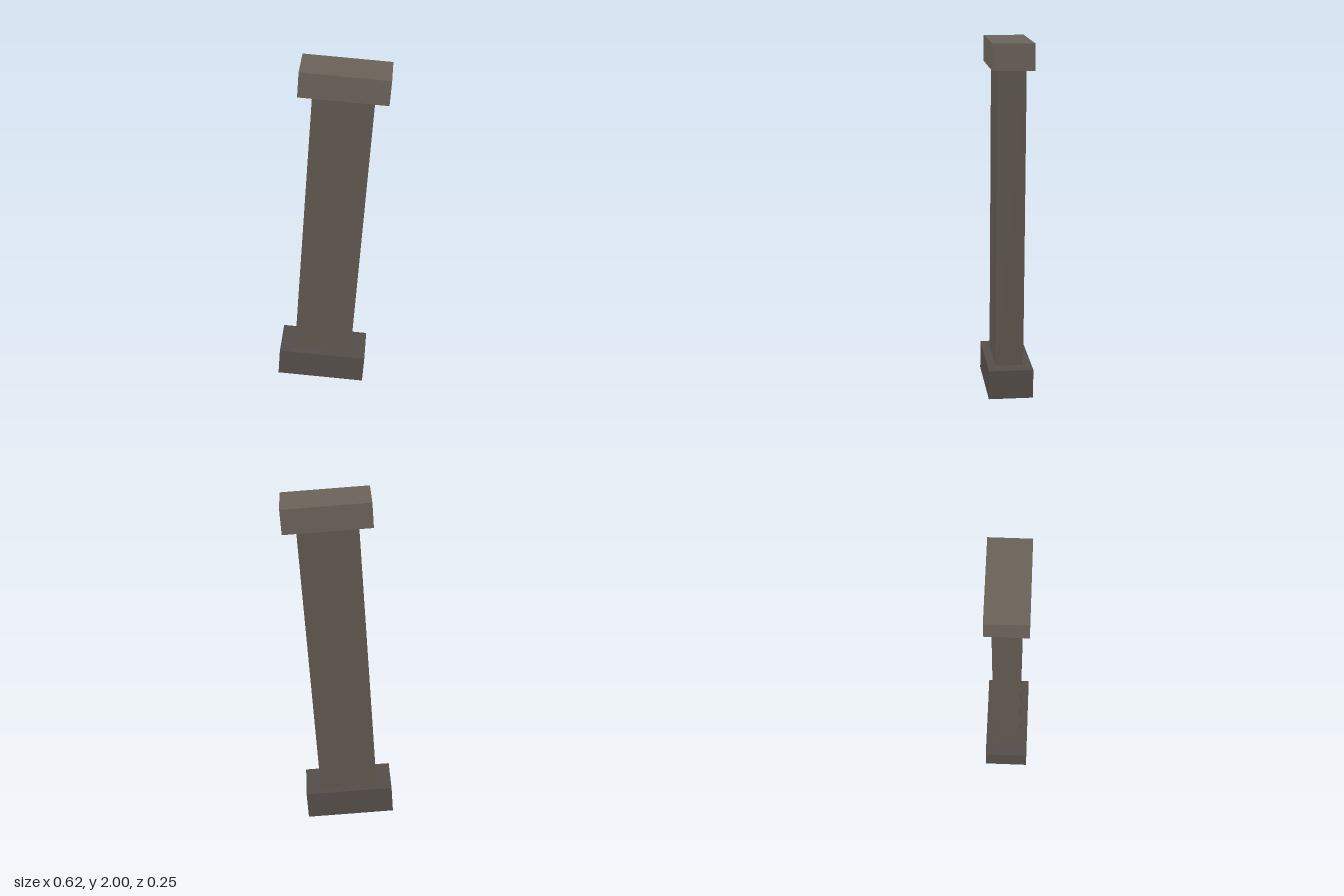
import * as THREE from 'three';

// Leaning square pillar: wide base, plain shaft and cap, all sharing one tilted axis
export function createModel() {
  const model = new THREE.Group();
  model.name = 'leaningPillar';

  const pillar = new THREE.Group();
  pillar.name = 'pillar';
  pillar.position.set(-0.059, 0.1, 0); // centre of the base
  pillar.rotation.z = -THREE.MathUtils.degToRad(4);
  model.add(pillar);

  // A block spanning bottom..top along the pillar's axis
  const addBlock = (name, width, depth, bottom, top, color) => {
    const block = new THREE.Mesh(
      new THREE.BoxGeometry(width, top - bottom, depth),
      new THREE.MeshStandardMaterial({ color })
    );
    block.name = name;
    block.position.y = (bottom + top) / 2;
    pillar.add(block);
  };

  addBlock('base', 0.498, 0.248, -0.0825, 0.0825, 0x534d48);
  addBlock('shaft', 0.328, 0.156, 0.0825, 1.7455, 0x5e574e);
  addBlock('cap', 0.477, 0.227, 1.7455, 1.8875, 0x6a6258);

  return model;
}
